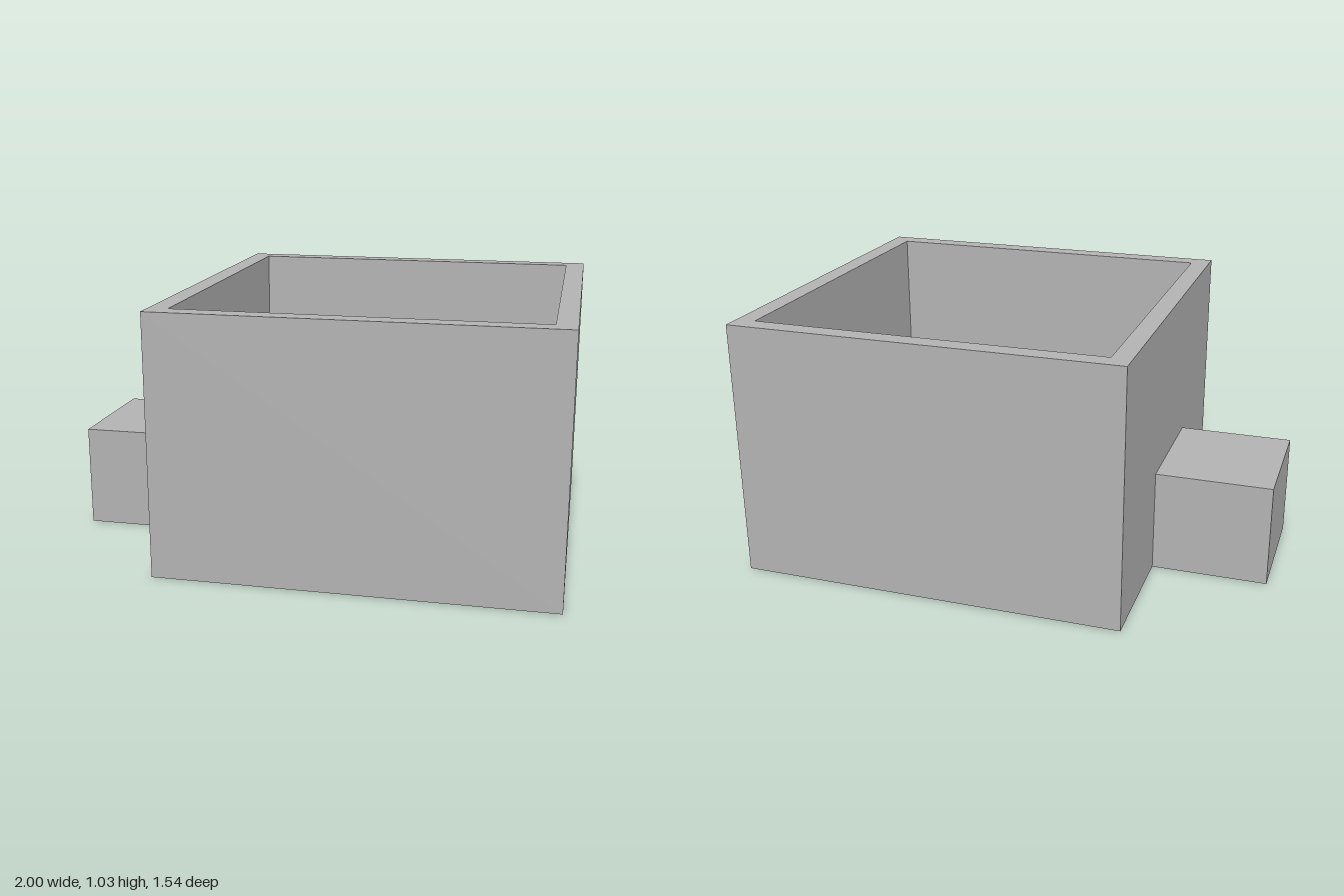
import * as THREE from 'three';

export function createModel() {
  const group = new THREE.Group();
  const grey = new THREE.MeshStandardMaterial({ color: 0xb2b2b2 });
  grey.name = 'plain grey';

  const width = 1.54, height = 1.026, wall = 0.077, floor = 0.077;
  const centreX = 1 - width / 2;

  // Square outline centred on the origin
  const square = (Type, size) => {
    const h = size / 2;
    return new Type([[-h, -h], [h, -h], [h, h], [-h, h]].map(([x, y]) => new THREE.Vector2(x, y)));
  };

  const add = (name, geometry, x, y) => {
    const mesh = new THREE.Mesh(geometry, grey);
    mesh.name = name;
    mesh.position.set(x, y, 0);
    group.add(mesh);
  };

  // Open-topped walls: a square ring extruded upwards
  const ring = square(THREE.Shape, width);
  ring.holes.push(square(THREE.Path, width - 2 * wall));
  const walls = new THREE.ExtrudeGeometry(ring, { depth: height, bevelEnabled: false });
  walls.rotateX(-Math.PI / 2);
  add('boxWalls', walls, centreX, 0);

  // Floor plate closing the ring
  const inner = width - 2 * wall;
  add('boxFloor', new THREE.BoxGeometry(inner, floor, inner), centreX, floor / 2);

  // Low solid block against the right side
  const blockLength = 0.46, blockHeight = 0.41;
  add('sideBlock', new THREE.BoxGeometry(blockLength, blockHeight, 0.513), -1 + blockLength / 2, blockHeight / 2);

  return group;
}
